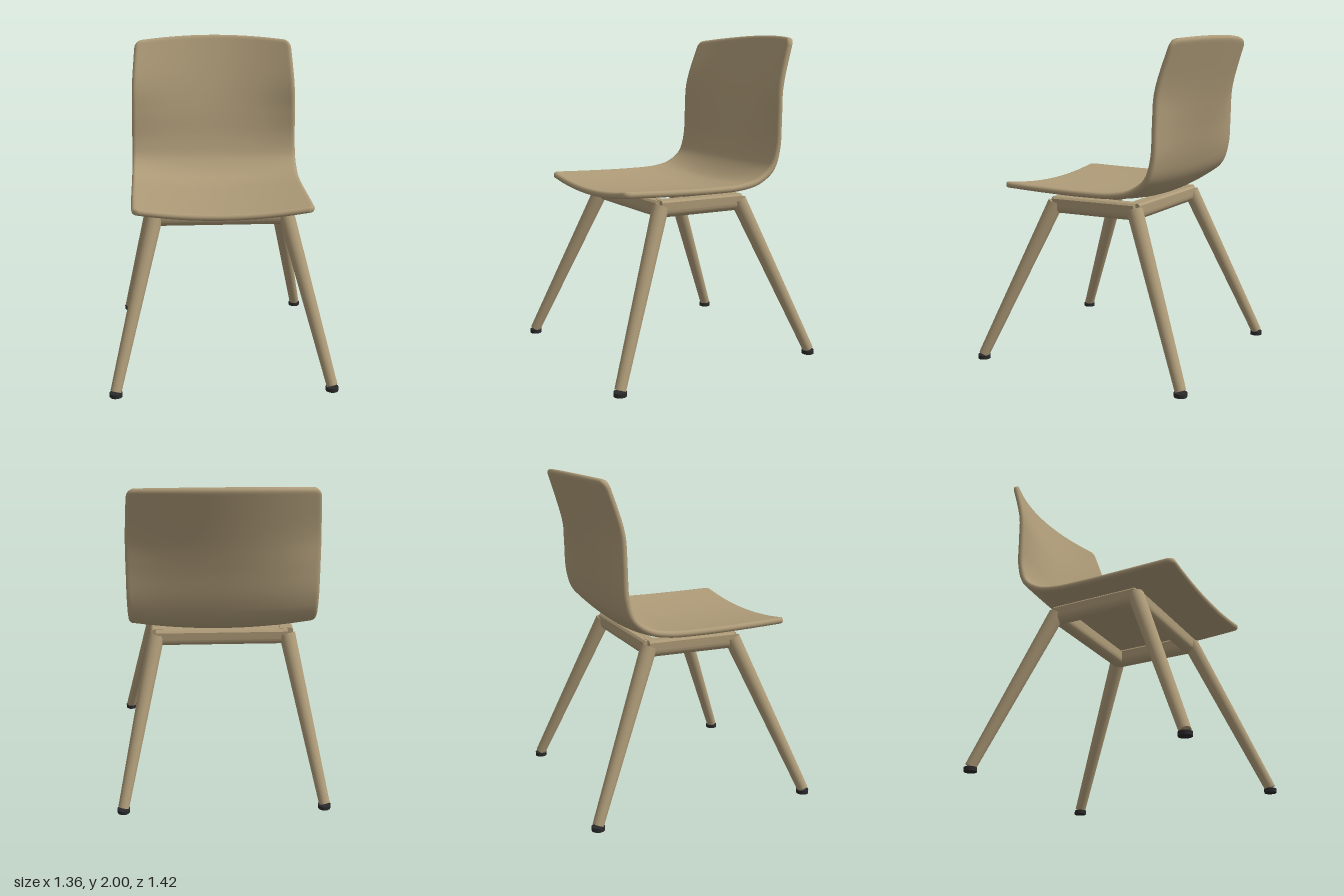
import * as THREE from 'three';
import { mergeVertices, toCreasedNormals } from 'three/addons/utils/BufferGeometryUtils.js';

const wood = new THREE.MeshStandardMaterial({ color: 0xae9b78 });
wood.name = 'beige';
const black = new THREE.MeshStandardMaterial({ color: 0x2a2a2c });
black.name = 'black';

// Shell mid-surface profiles, front lip to top of back: [y, z] on the centre line
const centreLine = new THREE.CatmullRomCurve3([
  [1.055, 0.58], [1.045, 0.3], [1.04, 0], [1.045, -0.2], [1.075, -0.32],
  [1.175, -0.43], [1.295, -0.48], [1.5, -0.528], [1.68, -0.575], [1.998, -0.675],
].map(([y, z]) => new THREE.Vector3(0, y, z)));
// [half width, y, z] along the side edge
const sideLine = new THREE.CatmullRomCurve3([
  [0.528, 1.1, 0.58], [0.54, 1.09, 0.3], [0.549, 1.085, 0], [0.553, 1.092, -0.2], [0.555, 1.12, -0.32],
  [0.555, 1.19, -0.415], [0.555, 1.31, -0.455], [0.553, 1.5, -0.462], [0.548, 1.68, -0.47], [0.525, 1.968, -0.556],
].map(p => new THREE.Vector3(...p)));

const HALF = 0.019;    // half thickness, also the rim rounding
const CORNER = 0.045;  // corner radius of the outline
const round = (d, r) => d >= r ? r : Math.sqrt(Math.max(0, r * r - (r - d) ** 2));

// Point on the curved mid-surface: x across, t along the profile
function surface(x, t) {
  const c = centreLine.getPoint(t), s = sideLine.getPoint(t);
  const k = (x / s.x) ** 2;
  return new THREE.Vector3(x, c.y + (s.y - c.y) * k, c.z + (s.z - c.z) * k);
}

function surfaceNormal(x, t) {
  const e = 0.002, t0 = Math.max(0, t - e), t1 = Math.min(1, t + e);
  const across = surface(x + e, t).sub(surface(x - e, t));
  const along = surface(x, t1).sub(surface(x, t0));
  return across.cross(along).normalize();
}

// Thick sheet with a rounded rim and rounded corners
function shellGeometry() {
  const rim = [0, 0.0026, 0.0095, HALF, 0.03, CORNER];
  const length = 2.6; // distance per unit of t near the ends
  const ends = rim.map(e => e / length);
  const ts = [...ends];
  for (let i = 1; i < 48; i++) ts.push(THREE.MathUtils.lerp(ends[5], 1 - ends[5], i / 48));
  ts.push(...ends.map(t => 1 - t).reverse());

  const top = [], bottom = [], index = [];
  let cols = 0;
  for (const t of ts) {
    const e = Math.min(t, 1 - t) * length;
    const w = sideLine.getPoint(t).x - CORNER + round(e, CORNER);
    const xs = rim.map(d => d - w);
    for (let j = 1; j < 24; j++) xs.push(THREE.MathUtils.lerp(CORNER - w, w - CORNER, j / 24));
    xs.push(...rim.map(d => w - d).reverse());
    cols = xs.length;
    for (const x of xs) {
      const h = Math.min(round(e, HALF), round(w - Math.abs(x), HALF));
      const p = surface(x, t), n = surfaceNormal(x, t);
      top.push(...p.clone().addScaledVector(n, h).toArray());
      bottom.push(...p.addScaledVector(n, -h).toArray());
    }
  }
  const offset = top.length / 3;
  for (let i = 0; i < ts.length - 1; i++) {
    for (let j = 0; j < cols - 1; j++) {
      const a = i * cols + j, b = a + 1, c = b + cols, d = a + cols;
      index.push(a, b, c, a, c, d);
      index.push(...[a, c, b, a, d, c].map(v => v + offset));
    }
  }
  const g = new THREE.BufferGeometry();
  g.setAttribute('position', new THREE.Float32BufferAttribute([...top, ...bottom], 3));
  g.setIndex(index);
  const merged = mergeVertices(g, 1e-5);
  merged.computeVertexNormals();
  return merged;
}

// Rail with a flat top and a round underside, running along z and centred
function railGeometry(length) {
  const r = 0.046;
  const s = new THREE.Shape();
  s.moveTo(r, 0.04);
  s.lineTo(r - 0.012, 0.052);
  s.lineTo(-r + 0.012, 0.052);
  s.lineTo(-r, 0.04);
  s.lineTo(-r, -0.006);
  s.absarc(0, -0.006, r, Math.PI, Math.PI * 2, false);
  s.closePath();
  const g = new THREE.ExtrudeGeometry(s, { depth: length, bevelEnabled: false, curveSegments: 16 });
  g.translate(0, 0, -length / 2);
  return toCreasedNormals(g, 0.6);
}

export function createModel() {
  const model = new THREE.Group();
  model.name = 'chair';
  const add = (name, geometry, material) => {
    const m = new THREE.Mesh(geometry, material);
    m.name = name;
    model.add(m);
    return m;
  };

  add('seatShell', shellGeometry(), wood);

  // Under-seat frame
  for (const [name, z] of [['frontRail', 0.265], ['backRail', -0.255]]) {
    const rail = add(name, railGeometry(0.8), wood);
    rail.rotation.y = Math.PI / 2;
    rail.position.set(0, 0.975, z);
  }
  for (const [name, x] of [['leftRail', 0.39], ['rightRail', -0.39]]) {
    add(name, railGeometry(0.56), wood).position.set(x, 0.978, 0.005);
  }

  // Splayed tapered legs with dark feet
  const up = new THREE.Vector3(0, 1, 0);
  for (const side of [1, -1]) {
    for (const [end, topZ, footX, footZ] of [['front', 0.28, 0.643, 0.673], ['back', -0.268, 0.612, -0.672]]) {
      const name = end + (side > 0 ? 'Left' : 'Right');
      const head = new THREE.Vector3(side * 0.4, 0.99, topZ);
      const foot = new THREE.Vector3(side * footX, 0.03, footZ);
      const axis = head.clone().sub(foot);
      const leg = add(name + 'Leg', new THREE.CylinderGeometry(0.049, 0.033, axis.length(), 32), wood);
      leg.position.copy(head).add(foot).multiplyScalar(0.5);
      leg.quaternion.setFromUnitVectors(up, axis.normalize());
      add(name + 'Foot', new THREE.CylinderGeometry(0.038, 0.038, 0.024, 32), black)
        .position.set(side * footX, 0.012, footZ);
    }
  }
  return model;
}
